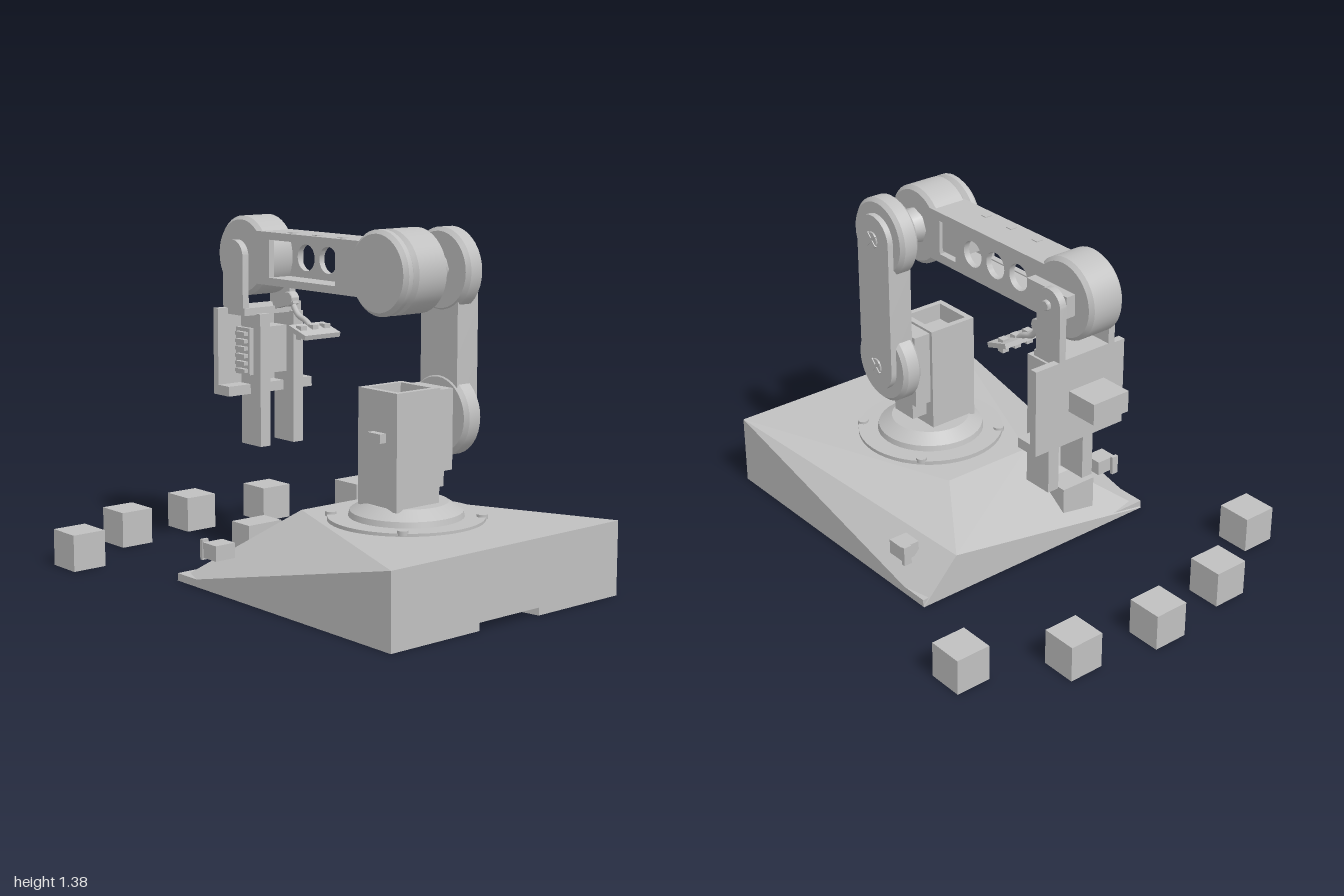
import * as THREE from 'three';
import { toCreasedNormals } from 'three/addons/utils/BufferGeometryUtils.js';

export function createModel() {
  const model = new THREE.Group();
  const grey = new THREE.MeshStandardMaterial({ color: 0xc0c0c0 });
  grey.name = 'plainGrey';
  const greyDouble = grey;
  greyDouble.side = THREE.DoubleSide;

  const add = (name, geometry, parent = model) => {
    const mesh = new THREE.Mesh(geometry, grey);
    mesh.name = name;
    parent.add(mesh);
    return mesh;
  };
  const group = (name) => {
    const g = new THREE.Group();
    g.name = name;
    model.add(g);
    return g;
  };
  // box given by its limits on each axis
  const box = (name, [x0, x1], [y0, y1], [z0, z1], parent) =>
    add(name, new THREE.BoxGeometry(x1 - x0, y1 - y0, z1 - z0)
      .translate((x0 + x1) / 2, (y0 + y1) / 2, (z0 + z1) / 2), parent);
  // shape drawn in (-z, y), extruded along x from x0 to x1
  const extrudeX = (name, shape, x0, x1, parent) =>
    add(name, toCreasedNormals(new THREE.ExtrudeGeometry(shape, { depth: x1 - x0, bevelEnabled: false, curveSegments: 16 })
      .rotateY(Math.PI / 2).translate(x0, 0, 0), 0.6), parent);
  // disc on the x axis with softened rims
  const disc = (name, r, x0, x1, y, z, parent, bevel = 0.015) => {
    const profile = [[0, x0], [r - bevel, x0], [r, x0 + bevel], [r, x1 - bevel], [r - bevel, x1], [0, x1]]
      .map(([a, b]) => new THREE.Vector2(a, b));
    return add(name, toCreasedNormals(new THREE.LatheGeometry(profile, 36).rotateZ(-Math.PI / 2), 0.6)
      .translate(0, y, z), parent);
  };
  const rect = (Type, u0, u1, v0, v1) => new Type([[u0, v0], [u1, v0], [u1, v1], [u0, v1]].map(p => new THREE.Vector2(...p)));
  const upright = (name, rBottom, rTop, y0, y1, x, z, parent, n = 40) =>
    add(name, new THREE.CylinderGeometry(rTop, rBottom, y1 - y0, n).translate(x, (y0 + y1) / 2, z), parent);

  // ---- base housing: faceted shell sloping down to the back
  const base = group('base');
  const P = {
    A: [0.57, 0.29, 1], B: [-0.57, 0.29, 1], C: [0.57, 0.03, 1], D: [-0.57, 0.03, 1],
    E: [0.57, 0, -0.24], F: [-0.57, 0, -0.24], G: [0.41, 0.17, -0.24],
    H: [-0.2, 0.28, 0.07], I: [0.2, 0.28, 0.07],
  };
  const faces = 'CAB CBD CEA EGA AIH AHB AGI GHI GFH FBH DBF EFG';
  const pos = [];
  for (const f of faces.split(' ')) for (const k of f) pos.push(...P[k]);
  const shell = new THREE.BufferGeometry();
  shell.setAttribute('position', new THREE.Float32BufferAttribute(pos, 3));
  shell.computeVertexNormals();
  add('baseShell', shell, base);

  // floor plate with a cable notch at the front
  const floor = new THREE.Shape([[-0.57, -1], [-0.15, -1], [-0.11, -0.8], [0.11, -0.8], [0.15, -1], [0.57, -1], [0.57, 0.235], [-0.57, 0.235]]
    .map(p => new THREE.Vector2(...p)));
  add('floorPlate', new THREE.ExtrudeGeometry(floor, { depth: 0.03, bevelEnabled: false }).rotateX(-Math.PI / 2), base);
  upright('floorHub', 0.15, 0.15, 0.002, 0.04, 0, 0.72, base);
  box('rearSocket', [-0.34, -0.18], [0.06, 0.21], [-0.19, -0.08], base);
  for (const s of [-1, 1]) {
    box('sideSocket', s < 0 ? [-0.56, -0.47] : [0.47, 0.55], [0.12, 0.18], [-0.08, 0.0], base);
    box('sidePin', s < 0 ? [-0.56, -0.53] : [0.52, 0.555], [0.11, 0.19], [-0.1, -0.085], base);
  }

  // ---- turntable
  const AZ = 0.45; // shoulder axis
  const table = group('turntable');
  upright('tableFlange', 0.3, 0.3, 0.28, 0.298, 0, AZ, table, 48);
  upright('tableRim', 0.22, 0.215, 0.298, 0.32, 0, AZ, table);
  upright('tableCone', 0.215, 0.16, 0.32, 0.355, 0, AZ, table);
  for (let i = 0; i < 4; i++) {
    const a = Math.PI / 4 + i * Math.PI / 2;
    upright('tableScrew', 0.022, 0.022, 0.29, 0.308, 0.285 * Math.cos(a), AZ + 0.285 * Math.sin(a), table, 12);
  }

  // ---- tower: open-topped servo housing
  const tower = group('tower');
  const wall = rect(THREE.Shape, -0.15, 0.065, -0.56, -0.345);
  wall.holes.push(rect(THREE.Path, -0.125, 0.04, -0.535, -0.37));
  add('towerHousing', new THREE.ExtrudeGeometry(wall, { depth: 0.445, bevelEnabled: false })
    .rotateX(-Math.PI / 2).translate(0, 0.345, 0), tower);
  box('towerServo', [-0.125, 0.04], [0.36, 0.72], [0.37, 0.535], tower);
  box('towerNub', [-0.18, -0.15], [0.6, 0.635], [0.43, 0.5], tower);
  box('shoulderServo', [0.065, 0.14], [0.47, 0.78], [0.36, 0.55], tower);
  box('servoFoot', [0.065, 0.135], [0.4, 0.48], [0.39, 0.51], tower);
  disc('shoulderHorn', 0.07, 0.13, 0.17, 0.665, AZ, tower, 0.005);

  // ---- lower arm: capsule strap with a disc at each end
  const lower = group('lowerArm');
  const [Y0, Y1] = [0.665, 1.215];
  const strap = new THREE.Shape();
  strap.absarc(-AZ, Y1, 0.1, 0, Math.PI);
  strap.absarc(-AZ, Y0, 0.1, Math.PI, 2 * Math.PI);
  extrudeX('armStrap', strap, 0.16, 0.265, lower);
  for (const y of [Y0, Y1]) {
    disc('armDisc', 0.16, 0.155, 0.24, y, AZ, lower);
    disc('screwHub', 0.033, 0.26, 0.27, y, AZ, lower, 0.003);
    for (const a of [0.8, 2.37]) {
      const slot = add('screwSlot', new THREE.BoxGeometry(0.008, 0.07, 0.012), lower);
      slot.position.set(0.27, y, AZ);
      slot.rotation.x = a;
    }
  }

  // ---- forearm
  const fore = group('forearm');
  const FY = 1.22, WZ = -0.43;
  disc('elbowDisc', 0.16, -0.105, 0.06, FY, AZ, fore);
  disc('elbowCap', 0.16, -0.155, -0.105, FY, AZ, fore);
  add('elbowHorn', new THREE.CylinderGeometry(0.075, 0.055, 0.1, 8).rotateZ(Math.PI / 2).translate(0.11, FY, AZ), fore);
  disc('wristDisc', 0.16, -0.1, 0.06, FY, WZ, fore);

  // outer wall with round holes and a servo window
  const outer = rect(THREE.Shape, -0.36, 0.34, 1.115, 1.325);
  for (const z of [0.085, -0.05, -0.185]) {
    const hole = new THREE.Path();
    hole.absarc(-z, FY, 0.053, 0, 2 * Math.PI);
    outer.holes.push(hole);
  }
  outer.holes.push(rect(THREE.Path, -0.29, -0.19, 1.15, 1.29));
  extrudeX('forearmOuterWall', outer, 0.035, 0.06, fore);
  // inner wall, open along the middle
  const inner = rect(THREE.Shape, -0.36, 0.34, 1.115, 1.325);
  inner.holes.push(rect(THREE.Path, -0.15, 0.25, 1.145, 1.295));
  extrudeX('forearmInnerWall', inner, -0.1, -0.075, fore);
  for (const y of [1.115, 1.3]) box('forearmFlange', [-0.1, 0.06], [y, y + 0.025], [-0.34, 0.36], fore);
  box('elbowServo', [-0.075, 0.045], [1.16, 1.28], [0.2, 0.32], fore);
  for (const z of [0.15, 0, -0.15]) box('flangePad', [-0.075, -0.045], [1.32, 1.328], [z - 0.015, z + 0.015], fore);
  box('wristServo', [0.05, 0.1], [1.18, 1.265], [-0.5, -0.28], fore);

  // ---- wrist bracket with two rounded ears
  const wrist = group('wrist');
  const ear = new THREE.Shape();
  ear.moveTo(0.5, 0.99);
  ear.lineTo(0.5, FY);
  ear.absarc(0.435, FY, 0.065, 0, Math.PI);
  ear.lineTo(0.37, 0.99);
  for (const x of [-0.14, 0.1]) extrudeX('wristEar', ear, x, x + 0.03, wrist);
  disc('wristPivot', 0.02, 0.12, 0.145, FY, WZ, wrist, 0.003);
  box('wristBridge', [-0.14, 0.13], [0.985, 1.015], [-0.5, -0.36], wrist);

  // ---- gripper
  const grip = group('gripper');
  box('gripperPlate', [-0.19, 0.24], [0.66, 1.01], [-0.5, -0.47], grip);
  box('gripperMotor', [-0.09, 0.08], [0.795, 0.88], [-0.637, -0.5], grip);
  box('guideRail', [-0.19, 0.24], [0.66, 0.7], [-0.47, -0.4], grip);
  box('gearBlock', [-0.1, 0.14], [0.74, 0.93], [-0.47, -0.38], grip);
  for (let i = 0; i < 6; i++) box('rackTooth', [-0.12, -0.1], [0.75 + i * 0.03, 0.765 + i * 0.03], [-0.45, -0.39], grip);
  for (const x of [-0.08, 0.09]) box('gripperFinger', [x, x + 0.05], [0.45, 0.99], [-0.46, -0.335], grip);

  // ---- sensor board hanging from a short arm
  const sensor = group('sensor');
  const lug = add('sensorLug', new THREE.BoxGeometry(0.03, 0.035, 0.13), sensor);
  lug.position.set(0.03, 1.035, -0.31);
  lug.rotation.x = -0.25;
  disc('sensorPivot', 0.03, 0.01, 0.05, 1.05, -0.275, sensor, 0.003);
  const path = new THREE.CatmullRomCurve3([[0.03, 1.04, -0.27], [0.03, 0.99, -0.23], [0.03, 0.97, -0.18], [0.03, 0.94, -0.14]]
    .map(p => new THREE.Vector3(...p)));
  add('sensorStem', new THREE.TubeGeometry(path, 12, 0.012, 8), sensor);
  const board = add('sensorBoard', new THREE.BoxGeometry(0.18, 0.02, 0.11), sensor);
  board.position.set(0.03, 0.935, -0.13);
  board.rotation.x = 0.3;
  for (const x of [-0.03, 0.03, 0.09]) box('sensorPart', [x - 0.015, x + 0.015], [0.905, 0.96], [-0.15, -0.12], sensor);

  // ---- five cubes in an arc behind the arm
  const cubes = group('cubes');
  for (const [x, z] of [[-0.735, -0.675], [-0.37, -0.875], [0, -0.93], [0.37, -0.875], [0.735, -0.675]])
    box('cube', [x - 0.073, x + 0.073], [0, 0.147], [z - 0.073, z + 0.073], cubes);

  return model;
}
